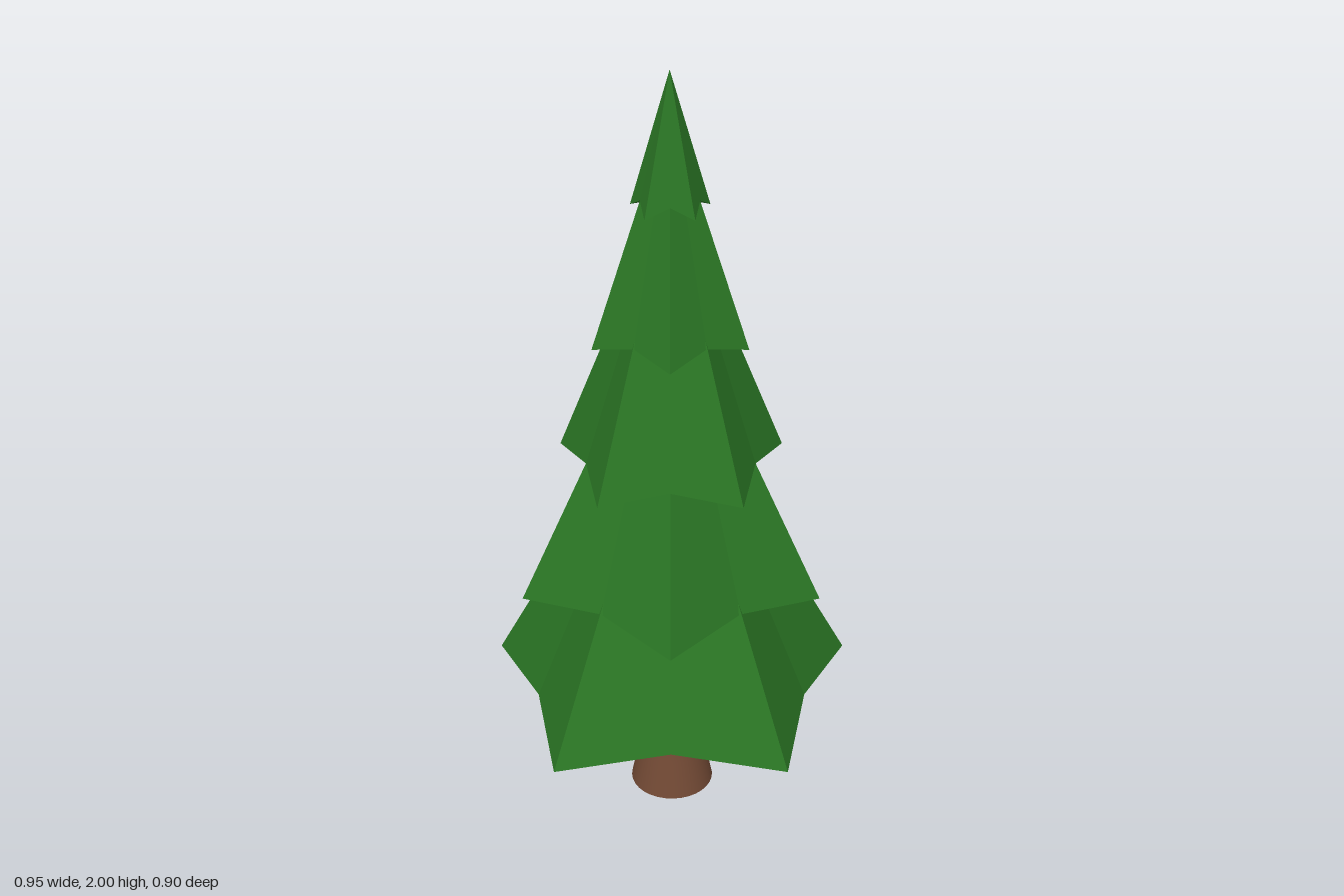
import * as THREE from 'three';

const POINTS = 5;
const AXIS_Z = -0.05;

// Star-based cone: drooping tips, raised notches, one apex, closed underside
function starCone(radius, tipY, notchY, apexY, turn) {
  const ring = [];
  for (let i = 0; i < POINTS * 2; i++) {
    const isTip = i % 2 === 0;
    const r = isTip ? radius : radius * 0.74;
    const a = turn + (i * Math.PI) / POINTS;
    ring.push([r * Math.sin(a), isTip ? tipY : notchY, r * Math.cos(a)]);
  }
  const positions = [];
  ring.forEach((p, i) => {
    const q = ring[(i + 1) % ring.length];
    positions.push(...p, ...q, 0, apexY, 0); // outer face
    positions.push(...q, ...p, 0, notchY, 0); // underside
  });
  const geometry = new THREE.BufferGeometry();
  geometry.setAttribute('position', new THREE.Float32BufferAttribute(positions, 3));
  geometry.computeVertexNormals();
  return geometry;
}

export function createModel() {
  const tree = new THREE.Group();
  tree.name = 'pineTree';

  const needles = new THREE.MeshStandardMaterial({ color: 0x2a7524, flatShading: true });
  const bark = new THREE.MeshStandardMaterial({ color: 0x734a35 });

  // Trunk flaring out at the foot
  const profile = [[0, 0], [0.112, 0], [0.112, 0], [0.092, 0.1], [0.074, 0.2], [0.066, 0.33], [0.064, 0.42]];
  const trunk = new THREE.Mesh(
    new THREE.LatheGeometry(profile.map(([x, y]) => new THREE.Vector2(x, y)), 32), bark);
  trunk.name = 'trunk';
  trunk.position.z = AXIS_Z;
  tree.add(trunk);

  // Five tiers of branches, each turned half a step from the one below
  const apexes = [1.24, 1.48, 1.73, 1.91, 2.0];
  apexes.forEach((apexY, i) => {
    const tipY = 0.325 + i * 0.336;
    const tier = new THREE.Mesh(
      starCone(0.5 - i * 0.1, tipY, tipY + 0.028, apexY, (i * Math.PI) / POINTS), needles);
    tier.name = `branchTier${i + 1}`;
    tier.position.z = AXIS_Z;
    tree.add(tier);
  });

  return tree;
}
